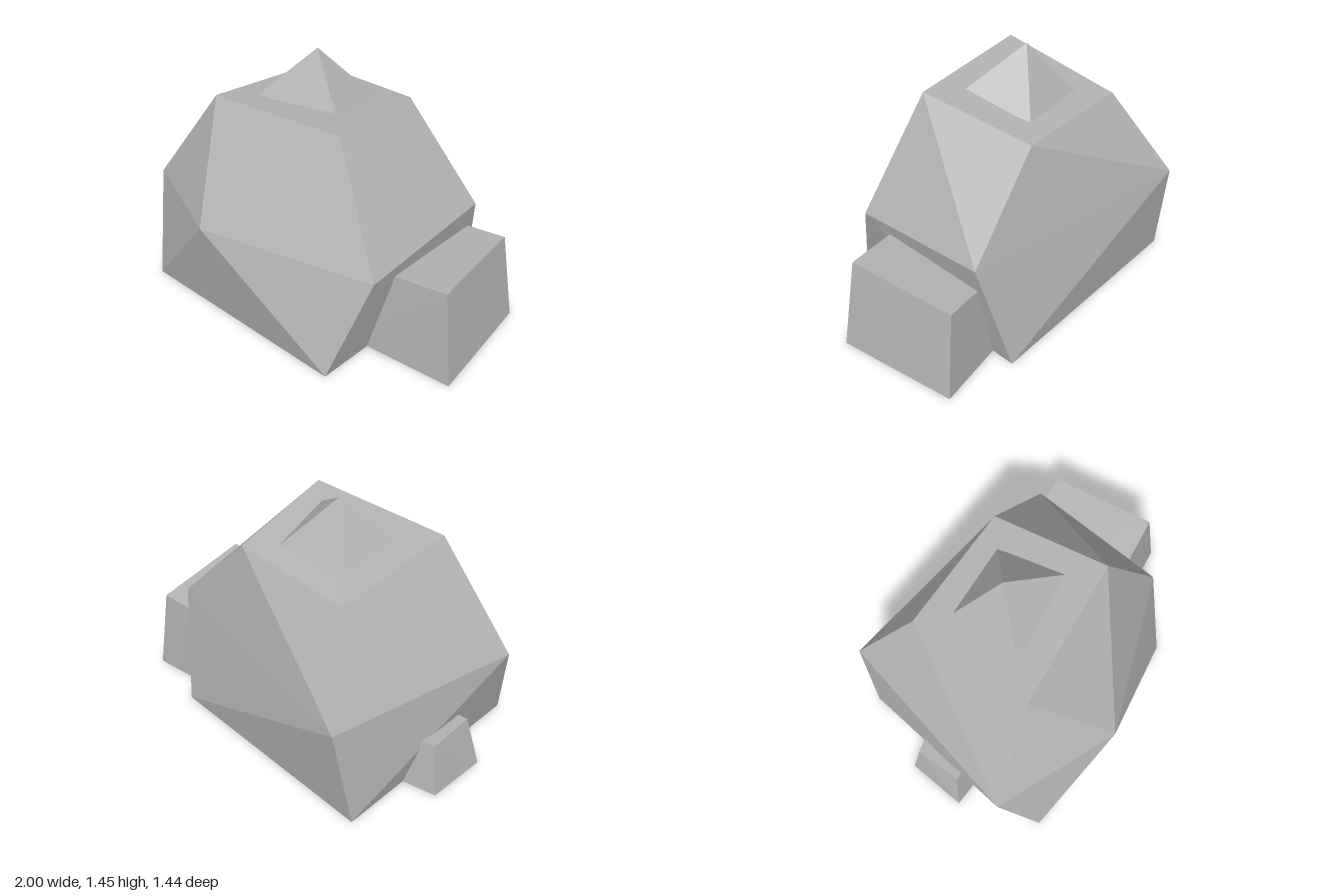
import * as THREE from 'three';
import { ConvexGeometry } from 'three/addons/geometries/ConvexGeometry.js';

export function createModel() {
  const group = new THREE.Group();
  group.name = 'rockPile';
  const stone = new THREE.MeshStandardMaterial({ color: 0xb4b4b4 });
  stone.name = 'grey stone';

  // Each stone is the faceted hull of its corner points
  function addStone(name, corners) {
    const points = corners.map((c) => new THREE.Vector3(...c));
    const mesh = new THREE.Mesh(new ConvexGeometry(points), stone);
    mesh.name = name;
    group.add(mesh);
  }

  addStone('mainBoulder', [
    // sloping top
    [-0.54, 1.195, 0.31], [0.27, 1.235, 0.275], [0.23, 1.155, -0.38], [-0.465, 1.12, -0.42],
    // widest ring
    [-0.96, 0.58, 0.385], [-0.31, 0.655, 0.715], [0.615, 0.58, 0.43],
    [0.69, 0.66, -0.38], [-0.655, 0.62, -0.722],
    // base
    [-0.845, 0, 0.578], [0.46, 0, 0.625], [0.58, 0, -0.53], [-0.73, 0, -0.65],
  ]);

  // Block leaning out of the left side
  addStone('largeSideBlock', [
    [1.0, 0, 0.275], [0.96, 0, -0.415], [0.3, 0, 0.32], [0.3, 0, -0.38],
    [0.92, 0.555, 0.235], [0.885, 0.525, -0.383], [0.3, 0.49, 0.275], [0.3, 0.47, -0.35],
  ]);

  // Small block on the right side
  addStone('smallSideBlock', [
    [-1.0, 0, 0.118], [-0.957, 0, -0.228], [-0.65, 0, 0.15], [-0.65, 0, -0.275],
    [-0.925, 0.31, 0.08], [-0.905, 0.305, -0.19], [-0.65, 0.29, 0.09], [-0.65, 0.285, -0.21],
  ]);

  // Pointed stone tipped slightly off the boulder's top
  addStone('capStone', [
    [-0.155, 1.447, -0.07],
    [-0.39, 1.18, 0.158], [0.115, 1.235, 0.118], [0.082, 1.155, -0.27], [-0.356, 1.1, -0.294],
  ]);

  return group;
}
